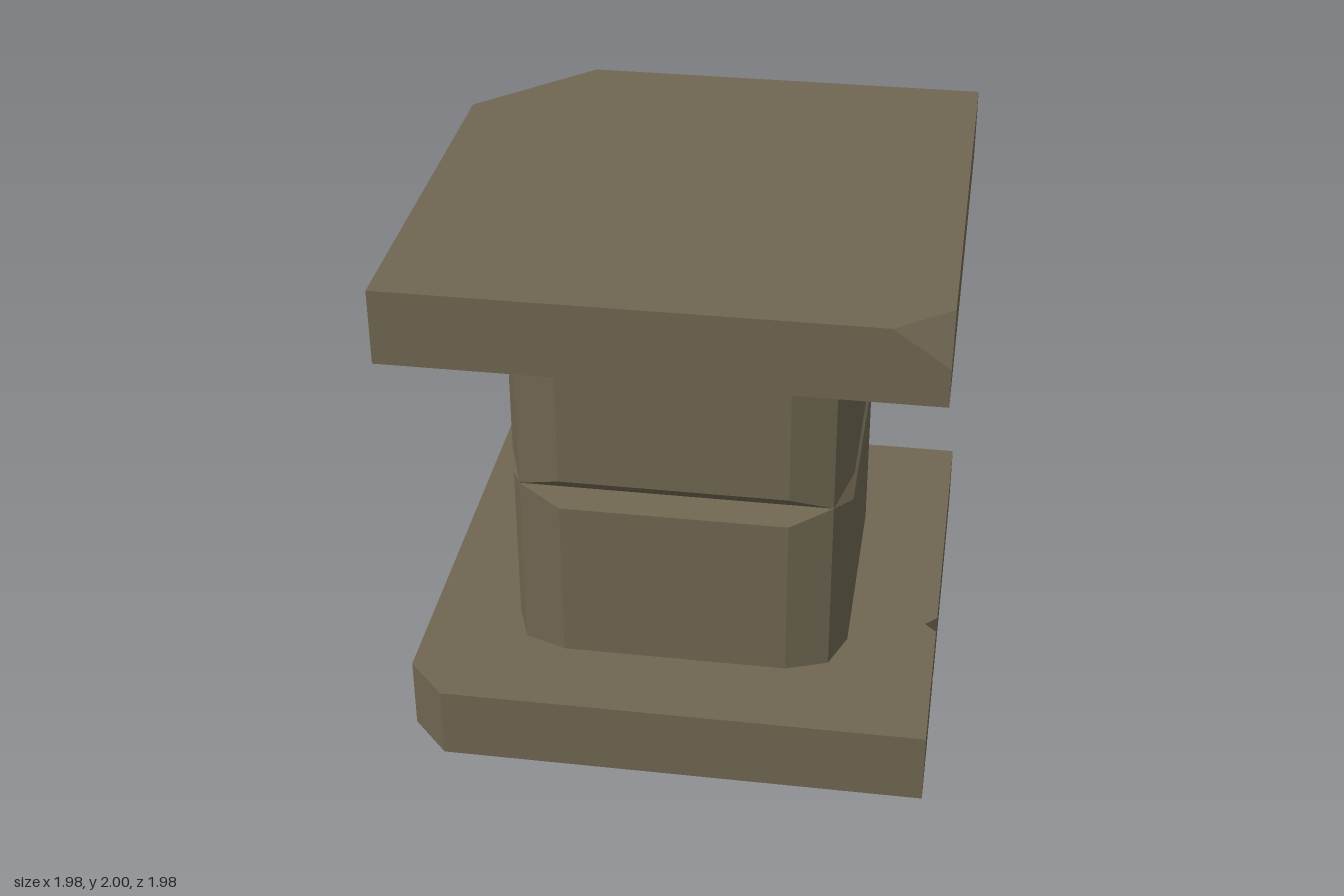
import * as THREE from 'three';
import { ConvexGeometry } from 'three/addons/geometries/ConvexGeometry.js';

const HALF = 0.99, SLAB = 0.285, HEIGHT = 2;

// Square slab with one trimmed corner and a small V notch on its +x edge
function basePlinth() {
  const outline = [
    [-0.84, HALF], [HALF, HALF],
    [HALF, 0.335], [HALF - 0.045, 0.29], [HALF, 0.245],
    [HALF, -HALF], [-HALF, -HALF], [-HALF, 0.83],
  ];
  const shape = new THREE.Shape(outline.map(([x, z]) => new THREE.Vector2(x, -z)));
  const geometry = new THREE.ExtrudeGeometry(shape, { depth: SLAB, bevelEnabled: false });
  return geometry.rotateX(-Math.PI / 2);
}

// Square slab with one corner cut straight through and the opposite one chipped on top
function topSlab() {
  const low = HEIGHT - SLAB;
  const points = [];
  for (const y of [low, HEIGHT]) {
    points.push([-HALF, y, HALF], [HALF, y, -HALF], [-0.57, y, -HALF], [-HALF, y, -0.57]);
  }
  points.push([HALF, low, HALF]);
  points.push([0.79, HEIGHT, HALF], [HALF, HEIGHT, 0.83], [HALF, 1.86, HALF]);
  return new ConvexGeometry(points.map((p) => new THREE.Vector3(...p)));
}

// Repeat one corner's points around the four corners
function ring(corner, y) {
  const points = [];
  let pts = corner;
  for (let k = 0; k < 4; k++) {
    for (const [x, z] of pts) points.push([x, y, z]);
    pts = pts.map(([x, z]) => [z, -x]);
  }
  return points;
}

// Square column with blunt pointed corners, pinched to a plain square at mid height
function column() {
  const full = [[0.43, 0.65], [0.59, 0.59], [0.65, 0.43]];
  const pinched = [[0.59, 0.59], [0.59, 0.59], [0.59, 0.59]];
  const rings = [
    ring(full, SLAB), ring(full, 0.94), ring(pinched, 1),
    ring(full, 1.06), ring(full, HEIGHT - SLAB),
  ];
  const positions = [];
  const same = (p, q) => p.every((v, i) => Math.abs(v - q[i]) < 1e-6);
  const triangle = (a, b, c) => {
    if (!same(a, b) && !same(b, c) && !same(a, c)) positions.push(...a, ...b, ...c);
  };
  for (let r = 0; r < rings.length - 1; r++) {
    const lower = rings[r], upper = rings[r + 1];
    for (let i = 0; i < lower.length; i++) {
      const j = (i + 1) % lower.length;
      triangle(lower[i], lower[j], upper[j]);
      triangle(lower[i], upper[j], upper[i]);
    }
  }
  const geometry = new THREE.BufferGeometry();
  geometry.setAttribute('position', new THREE.Float32BufferAttribute(positions, 3));
  geometry.computeVertexNormals();
  return geometry;
}

export function createModel() {
  const model = new THREE.Group();
  model.name = 'stonePedestal';
  const stone = new THREE.MeshStandardMaterial({ color: 0x6f6651, flatShading: true });
  const add = (name, geometry) => {
    const mesh = new THREE.Mesh(geometry, stone);
    mesh.name = name;
    model.add(mesh);
  };
  add('basePlinth', basePlinth());
  add('column', column());
  add('topSlab', topSlab());
  return model;
}
